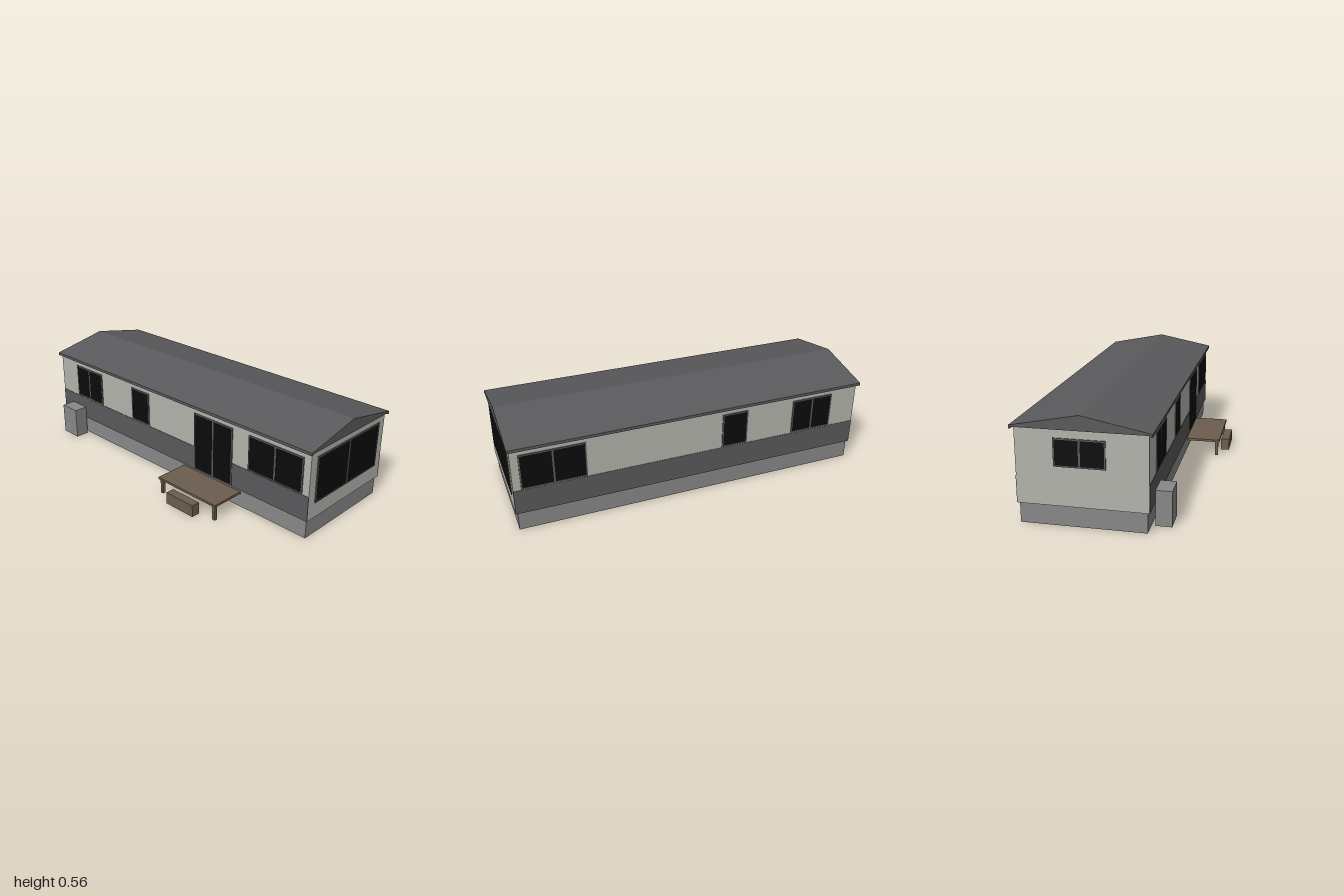
import * as THREE from 'three';

const mat = (name, color) => {
  const m = new THREE.MeshStandardMaterial({ color });
  m.name = name;
  return m;
};

export function createModel() {
  const model = new THREE.Group();
  model.name = 'mobileHome';
  const wall = mat('pale grey cladding', 0xb4b4ae);
  const dark = mat('dark grey roof and trim', 0x5a5a5c);
  const skirt = mat('mid grey skirting', 0x888888);
  const wood = mat('brown decking', 0x6c5d4e);
  const glass = mat('black glass', 0x0b0b0b);

  // Box given by its lower and upper corners
  const box = (name, m, x0, x1, y0, y1, z0, z1, parent = model) => {
    const mesh = new THREE.Mesh(new THREE.BoxGeometry(x1 - x0, y1 - y0, z1 - z0), m);
    mesh.position.set((x0 + x1) / 2, (y0 + y1) / 2, (z0 + z1) / 2);
    mesh.name = name;
    parent.add(mesh);
    return mesh;
  };

  // House body
  const L = -0.21, R = 0.433, MID = 0.112, END = 0.988;
  box('skirting', skirt, -0.2, 0.425, 0, 0.106, -0.977, 0.977);
  box('walls', wall, L, R, 0.106, 0.489, -END, END);
  box('leftBand', dark, R - 0.002, R + 0.002, 0.106, 0.245, -END, END);
  box('rightBand', dark, L - 0.002, L + 0.002, 0.106, 0.245, -END, END);

  // Low gabled roof with gutters along both eaves
  const gable = new THREE.Shape([
    [-0.228, 0.488], [0.453, 0.488], [0.453, 0.496], [MID, 0.563], [-0.228, 0.496],
  ].map(([x, y]) => new THREE.Vector2(x, y)));
  const roof = new THREE.Mesh(new THREE.ExtrudeGeometry(gable, { depth: 2, bevelEnabled: false }), dark);
  roof.position.z = -1;
  roof.name = 'roof';
  model.add(roof);
  box('leftGutter', dark, 0.444, 0.453, 0.48, 0.489, -1, 1);
  box('rightGutter', dark, -0.228, -0.219, 0.48, 0.489, -1, 1);

  // Framed opening, drawn facing +z on its wall, then turned into place
  const opening = (name, w, y0, y1, panes, x, z, turn) => {
    const g = new THREE.Group(), t = 0.007, d = 0.005;
    const a = -w / 2, b = w / 2;
    g.name = name;
    box('glass', glass, a + t, b - t, y0 + t, y1 - t, -0.002, 0.003, g);
    box('frameBottom', dark, a, b, y0, y0 + t, -0.002, d, g);
    box('frameTop', dark, a, b, y1 - t, y1, -0.002, d, g);
    for (let i = 0; i <= panes; i++) {
      const c = a + t / 2 + (i * (w - t)) / panes;
      const h = i > 0 && i < panes ? 0.005 : t / 2;
      box('frameUpright', dark, c - h, c + h, y0 + t, y1 - t, -0.002, d, g);
    }
    g.position.set(x, 0, z);
    g.rotation.y = turn;
    model.add(g);
  };
  opening('frontWindow', 0.541, 0.193, 0.45, 2, MID, END, 0);
  opening('backWindow', 0.252, 0.305, 0.445, 2, 0.119, -END, Math.PI);
  // Matching side windows: centre z, width, panes
  for (const [z, w, panes] of [[0.775, 0.345, 2], [-0.23, 0.15, 1], [-0.707, 0.247, 2]]) {
    opening('leftWindow', w, 0.25, 0.449, panes, R, z, Math.PI / 2);
    opening('rightWindow', w, 0.25, 0.449, panes, L, z, -Math.PI / 2);
  }
  opening('patioDoor', 0.277, 0.109, 0.449, 2, L, 0.353, -Math.PI / 2);

  // Deck with two outer legs and a step
  box('deck', wood, -0.408, -0.21, 0.085, 0.098, 0.13, 0.555);
  for (const z of [0.138, 0.529]) box('deckLeg', wood, -0.4, -0.382, 0, 0.085, z, z + 0.018);
  box('step', wood, -0.457, -0.408, 0, 0.068, 0.245, 0.44);

  // Utility cabinet beside the rear wall
  box('utilityCabinet', skirt, -0.3, -0.218, 0, 0.183, -0.89, -0.76);
  return model;
}
